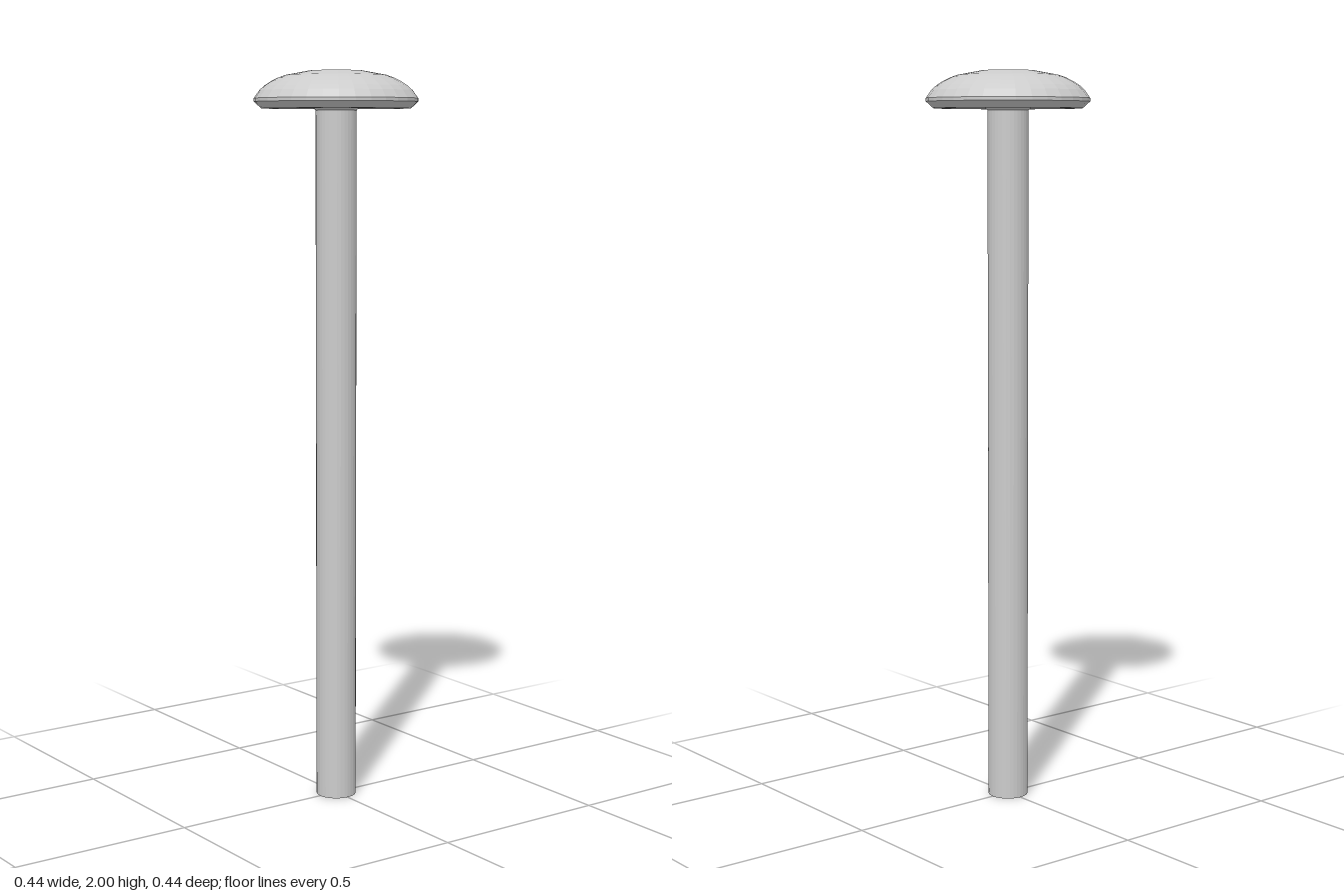
import * as THREE from 'three';

const SIDES = 32;

// Turns [radius, height] pairs, listed from bottom to top, into a faceted ring
function turned(name, points) {
  const profile = points.map(([r, y]) => new THREE.Vector2(r, y));
  const material = new THREE.MeshStandardMaterial({
    color: 0xcccccc, flatShading: true, side: THREE.DoubleSide,
  });
  const mesh = new THREE.Mesh(new THREE.LatheGeometry(profile, SIDES), material);
  mesh.name = name;
  return mesh;
}

export function createModel() {
  const model = new THREE.Group();
  model.name = 'roundHeadPin';

  // Straight shank with a closed bottom end
  model.add(turned('shank', [[0, 0], [0.055, 0], [0.055, 1.9]]));

  // Domed head: flared collar, hollow underside, rim, then the dome
  model.add(turned('head', [
    [0.055, 1.895], [0.09, 1.932],               // collar
    [0.105, 1.945], [0.13, 1.945],               // hollow
    [0.175, 1.9], [0.2, 1.9],                    // lower lip
    [0.22, 1.918], [0.22, 1.927],                // rim
    [0.205, 1.948], [0.192, 1.96], [0.175, 1.971],
    [0.155, 1.981], [0.135, 1.988], [0.07, 2],   // dome
    [0, 2],
  ]));

  return model;
}
